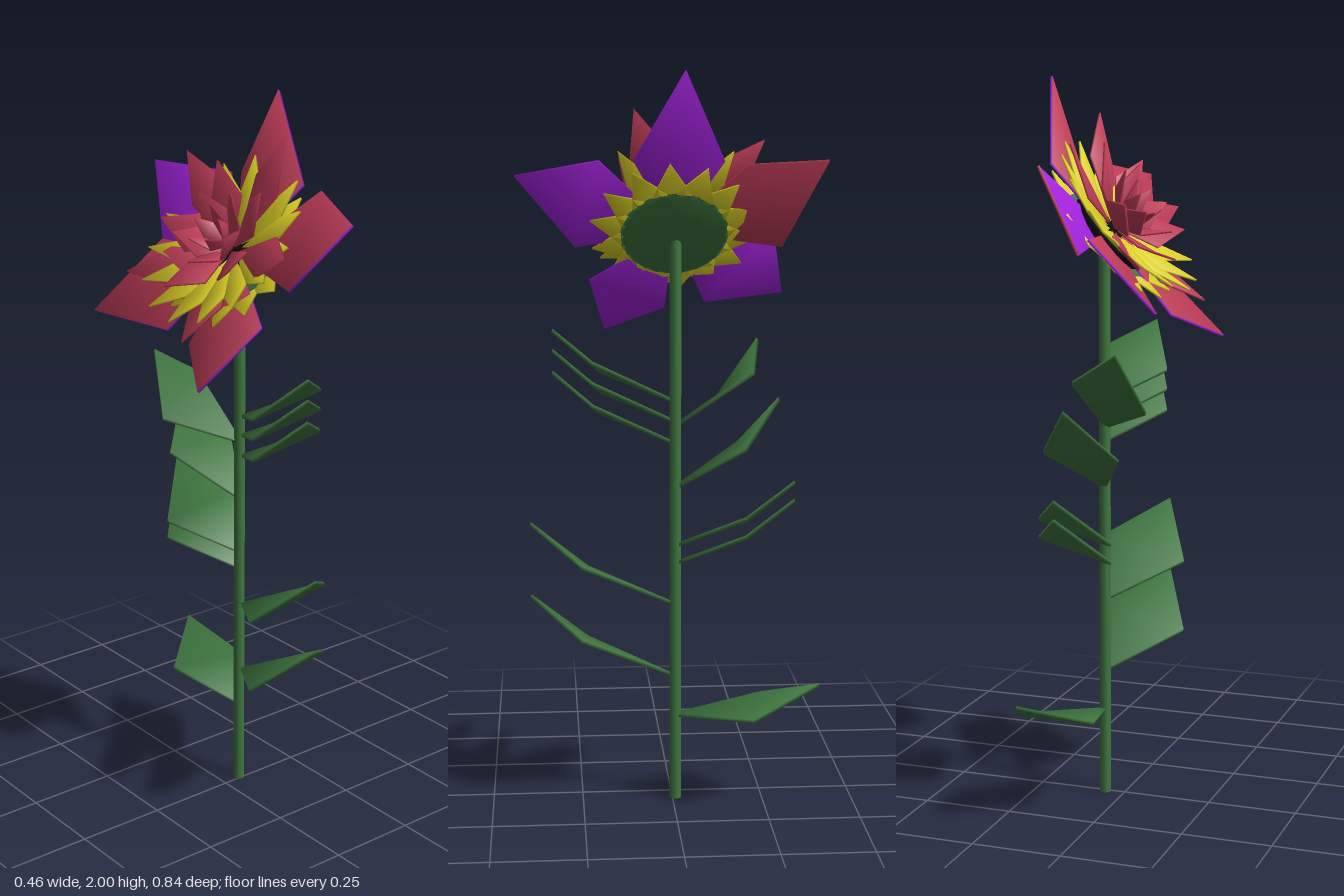
import * as THREE from 'three';

const mat = (name, color) => {
  const m = new THREE.MeshStandardMaterial({ color });
  m.name = name;
  return m;
};
const V = (x, y, z) => new THREE.Vector3(x, y, z);

// Thin kite-shaped blade folded across its widest line; its front faces "up".
// Normals lean outward at the corners for a soft, pillowy shading.
function blade(name, base, left, tip, right, up, front, back = front, thick = 0.008) {
  let ring = [base, right, tip, left];
  const normal = right.clone().sub(base).cross(left.clone().sub(base)).normalize();
  if (normal.dot(up) < 0) {
    ring = [base, left, tip, right];
    normal.negate();
  }
  const centre = ring.reduce((s, p) => s.addScaledVector(p, 0.25), V(0, 0, 0));
  const points = [], normals = [];
  for (const side of [1, -1])
    for (const p of ring) {
      points.push(p.clone().addScaledVector(normal, side * thick / 2));
      const lean = p.clone().sub(centre).projectOnPlane(normal).setLength(0.5);
      normals.push(...lean.addScaledVector(normal, side).normalize().toArray());
    }
  const index = [0, 1, 3, 1, 2, 3, 4, 7, 5, 5, 7, 6];
  for (let i = 0; i < 4; i++) { // rim
    const j = (i + 1) % 4;
    index.push(4 + i, 4 + j, j, 4 + i, j, i);
  }
  const geo = new THREE.BufferGeometry().setFromPoints(points);
  geo.setAttribute('normal', new THREE.Float32BufferAttribute(normals, 3));
  geo.setIndex(index);
  geo.addGroup(0, 6, 0);
  geo.addGroup(6, 30, 1);
  const mesh = new THREE.Mesh(geo, [front, back]);
  mesh.name = name;
  return mesh;
}

export function createModel() {
  const green = mat('leaf green', 0x3f7640);
  const red = mat('petal red', 0xbf3c57);
  const purple = mat('petal purple', 0xa623e2);
  const yellow = mat('bract yellow', 0xded226);
  const black = mat('centre black', 0x0c0c0c);
  const model = new THREE.Group();
  model.name = 'flower';

  // Stem
  const stem = new THREE.Mesh(new THREE.CylinderGeometry(0.016, 0.016, 1.575, 10), green);
  stem.position.set(0.055, 0.7875, -0.008);
  stem.name = 'stem';
  model.add(stem);

  // Leaves: base height, left corner, tip, right corner (corner heights above the base)
  const leaves = new THREE.Group();
  leaves.name = 'leaves';
  const leafShapes = [
    { at: [1.125, 1.07, 1.01], l: [-0.06, 0.065, 0.19], t: [0.015, 0.19, 0.325], r: [0.15, 0.115, 0.22] },
    { at: [0.56, 0.355], l: [-0.1, 0.07, 0.23], t: [-0.005, 0.217, 0.39], r: [0.15, 0.125, 0.25] },
    { at: [1.05], l: [-0.11, 0.065, -0.14], t: [-0.06, 0.23, -0.245], r: [0.07, 0.15, -0.22] },
    { at: [0.88], l: [-0.05, 0.11, -0.19], t: [0.07, 0.25, -0.29], r: [0.165, 0.125, -0.19] },
    { at: [0.72, 0.67], l: [-0.04, 0.05, -0.22], t: [0.08, 0.18, -0.335], r: [0.18, 0.1, -0.19] },
    { at: [0.24], l: [0, 0.04, -0.25], t: [0.165, 0.11, -0.395], r: [0.228, 0.03, -0.21] },
  ];
  for (const { at, l, t, r } of leafShapes)
    for (const y of at) {
      const p = a => V(a[0], y + a[1], a[2]);
      leaves.add(blade('leaf', V(0.055, y, 0), p(l), p(t), p(r), V(0, 1, 0), green, green, 0.01));
    }
  model.add(leaves);

  // Bloom frame: N is the facing axis, U the uphill direction in the bloom plane
  const C = V(0.055, 1.572, -0.005);
  const N = V(-0.76, 0.65, 0).normalize();
  const U = V(0.65, 0.76, 0).normalize();
  const at = (u, v, n) => C.clone().addScaledVector(U, u).addScaledVector(N, n).add(V(0, 0, v));
  const bloom = new THREE.Group();
  bloom.name = 'bloom';
  model.add(bloom);

  // Receptacle: shallow dome behind the petals, dark disc in front
  const dome = new THREE.Mesh(new THREE.LatheGeometry(
    [[0, -0.02], [0.08, -0.014], [0.135, -0.004], [0.155, 0.008], [0, 0.012]]
      .map(([x, y]) => new THREE.Vector2(x, y)), 24), green);
  dome.name = 'receptacle';
  const disc = new THREE.Mesh(new THREE.CylinderGeometry(0.125, 0.125, 0.02, 20), black);
  disc.name = 'centreDisc';
  for (const [mesh, n] of [[dome, 0], [disc, 0.025]]) {
    mesh.quaternion.setFromUnitVectors(V(0, 1, 0), N);
    mesh.position.copy(at(0, 0, n));
    bloom.add(mesh);
  }

  // Ring of equal blades; "tilt" raises the uphill side and lowers the downhill side
  function ring(name, material, { count, offset, length, half, elevation, lift, start = 0.03, tilt = 0 }) {
    const e = THREE.MathUtils.degToRad(elevation);
    for (let i = 0; i < count; i++) {
      const a = THREE.MathUtils.degToRad(offset + i * 360 / count);
      const place = (d, s, bend) => {
        const r = d * Math.cos(e);
        const u = r * Math.cos(a) - s * Math.sin(a);
        return at(u, r * Math.sin(a) + s * Math.cos(a), lift + d * Math.sin(e) + bend + tilt * u);
      };
      const mid = length * 0.6;
      bloom.add(blade(name, place(start, 0, 0), place(mid, half, -0.012), place(length, 0, 0),
        place(mid, -half, -0.012), N, material, material, 0.006));
    }
  }

  // Outer petals: left corner, tip, right corner; the last one is turned over
  const outer = [
    [[0.175, 1.77, 0.11], [0.2, 2, -0.025], [0.16, 1.77, -0.13]],
    [[0.16, 1.77, 0.2], [0.07, 1.73, 0.42], [0, 1.54, 0.26]],
    [[-0.055, 1.445, 0.22], [-0.228, 1.295, 0.175], [-0.13, 1.365, 0.01]],
    [[-0.12, 1.38, -0.1], [-0.2, 1.4, -0.328], [0, 1.58, -0.28]],
    [[0.17, 1.76, -0.19], [0.08, 1.77, -0.418], [0.02, 1.54, -0.3]],
  ];
  outer.forEach(([l, t, r], i) => {
    const flip = i === 4;
    bloom.add(blade('outerPetal', at(0, 0, 0.015), V(...l), V(...t), V(...r), N,
      flip ? purple : red, flip ? red : purple));
  });

  // Yellow bracts behind and in front of the outer petals
  ring('backBract', yellow, { count: 14, offset: 5, length: 0.23, half: 0.052, elevation: 5, lift: 0.004 });
  ring('frontBract', yellow, { count: 15, offset: 12, length: 0.27, half: 0.04, elevation: 15, lift: 0.025 });

  // Inner red petals, rising toward the centre
  ring('secondPetal', red,
    { count: 5, offset: 21, length: 0.325, half: 0.06, elevation: 18, lift: 0.03, tilt: 0.15 });
  ring('thirdPetal', red,
    { count: 5, offset: 51, length: 0.225, half: 0.055, elevation: 33, lift: 0.035, start: 0.015, tilt: 0.15 });
  ring('fourthPetal', red,
    { count: 5, offset: 30, length: 0.17, half: 0.044, elevation: 50, lift: 0.04, start: 0.01, tilt: 0.15 });
  ring('heartPetal', red,
    { count: 5, offset: 66, length: 0.125, half: 0.025, elevation: 64, lift: 0.055, start: 0.01, tilt: 0.15 });

  return model;
}
